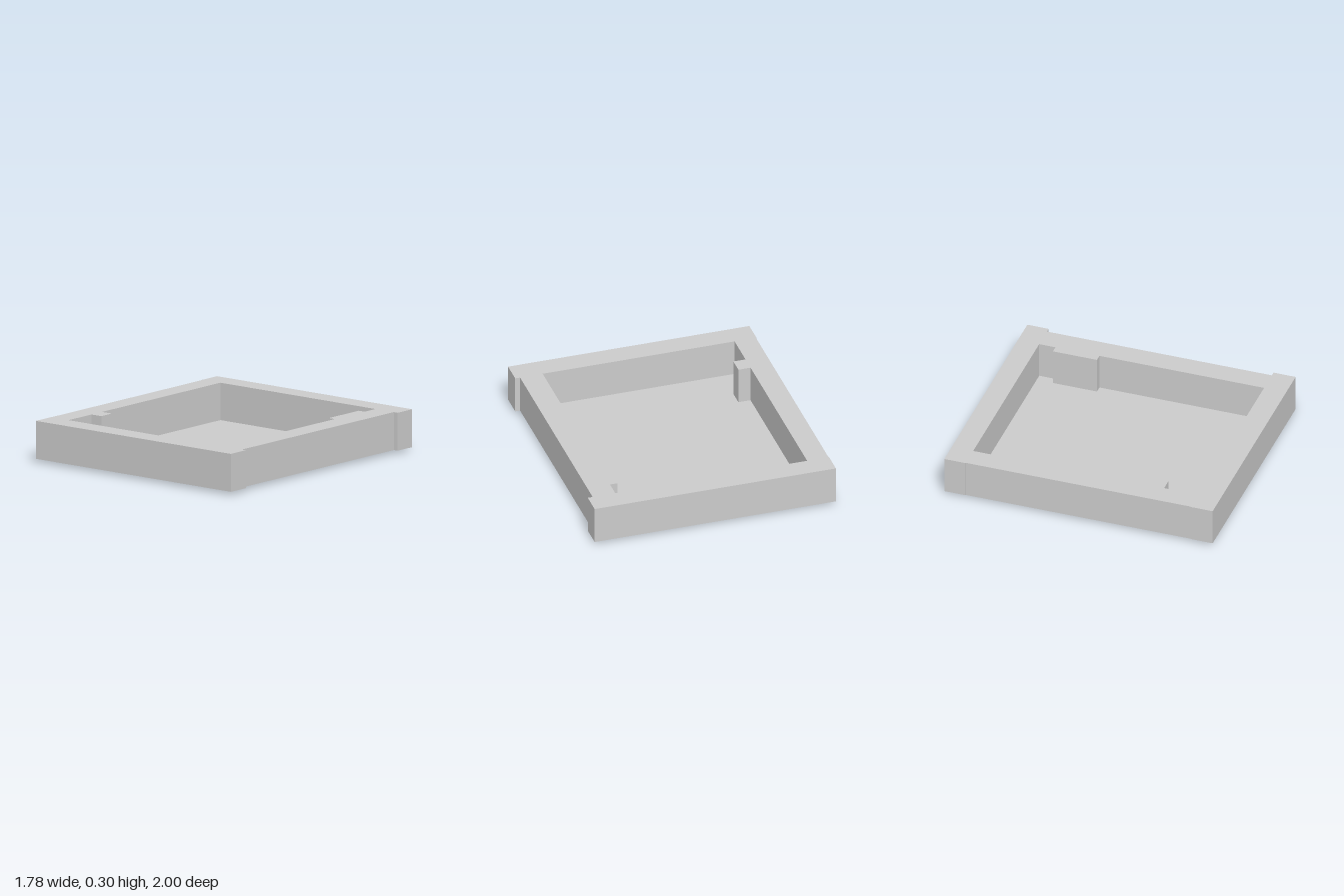
import * as THREE from 'three';

const material = new THREE.MeshStandardMaterial({ color: 0xcccccc, flatShading: true });

// Plan points are [x, z]; the extrusion is laid flat so that it rises along y.
const toPlan = (points) => points.map(([x, z]) => new THREE.Vector2(x, -z));

function slab(name, outline, hole, bottom, top) {
  const shape = new THREE.Shape(toPlan(outline));
  if (hole) shape.holes.push(new THREE.Path(toPlan(hole)));
  const geometry = new THREE.ExtrudeGeometry(shape, { depth: top - bottom, bevelEnabled: false });
  geometry.rotateX(-Math.PI / 2).translate(0, bottom, 0);
  const mesh = new THREE.Mesh(geometry, material);
  mesh.name = name;
  return mesh;
}

export function createModel() {
  const group = new THREE.Group();
  group.name = 'tray';
  const back = -0.841, front = 0.835;

  // Outer wall, stepped in between the end bars on both sides
  const outline = [
    [-0.892, 1], [0.892, 1], [0.892, front], [0.856, front],
    [0.856, back], [0.892, back], [0.892, -1], [-0.892, -1],
    [-0.892, back], [-0.888, back], [-0.888, front], [-0.892, front],
  ];

  // Opening with a long tab on the left side and a short one on the right
  const opening = [
    [-0.73, front], [0.689, front], [0.689, -0.392], [0.635, -0.392],
    [0.635, -0.72], [0.689, -0.72], [0.689, back], [-0.73, back],
    [-0.73, 0.466], [-0.64, 0.466], [-0.64, 0.582], [-0.73, 0.582],
  ];
  group.add(slab('frame', outline, opening, 0.022, 0.295));

  // Thin floor plate standing proud below the frame
  const plate = [[-0.731, 0.838], [0.696, 0.838], [0.696, -0.845], [-0.731, -0.845]];
  group.add(slab('floorPlate', plate, null, 0, 0.026));

  return group;
}
